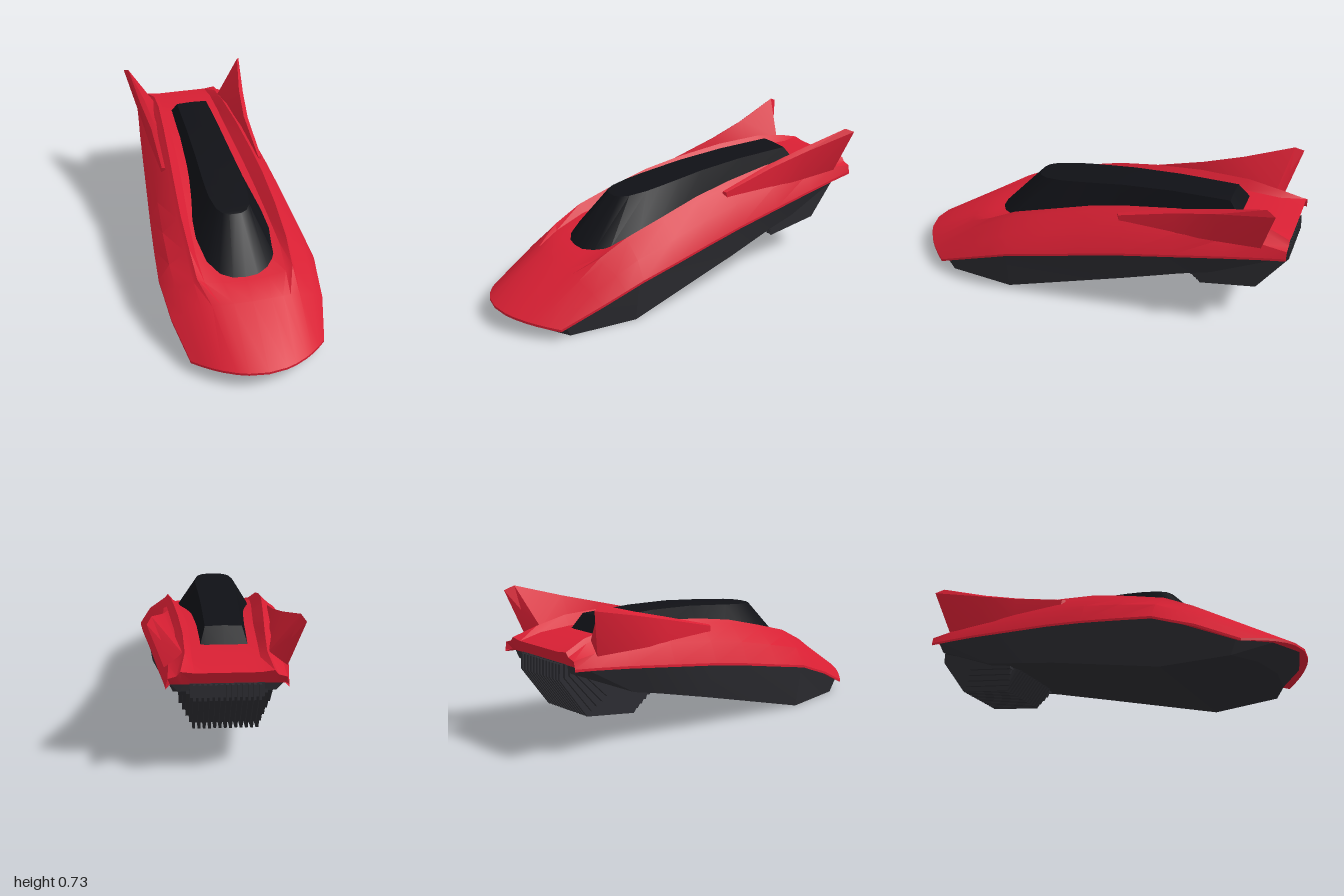
import * as THREE from 'three';
import { toCreasedNormals } from 'three/addons/utils/BufferGeometryUtils.js';

const paint = (color) => new THREE.MeshStandardMaterial({ color, side: THREE.DoubleSide });
const red = paint(0xd81f33), dark = paint(0x2c2c31), glass = paint(0x101116);

// Skin a grid of points; rows are cross-sections
function skin(name, rows, material, flip = false, crease = 0.45) {
  const pos = [];
  const tri = (a, b, c) => pos.push(...a, ...(flip ? c : b), ...(flip ? b : c));
  for (let i = 0; i < rows.length - 1; i++) {
    for (let j = 0; j < rows[i].length - 1; j++) {
      const a = rows[i][j], b = rows[i][j + 1], c = rows[i + 1][j], d = rows[i + 1][j + 1];
      tri(a, b, c);
      tri(b, d, c);
    }
  }
  const geo = new THREE.BufferGeometry();
  geo.setAttribute('position', new THREE.Float32BufferAttribute(pos, 3));
  const mesh = new THREE.Mesh(toCreasedNormals(geo, crease), material);
  mesh.name = name;
  return mesh;
}

const flipX = ([x, y, z]) => [-x, y, z];
// Half section (centre outwards) to a full one
const full = (half) => [...half.slice(1).reverse().map(flipX), ...half];
const centre = (pts) => [0, 1, 2].map((k) => pts.reduce((s, p) => s + p[k], 0) / pts.length);

// Half section of the upper shell: deck, raised ridge, bulged shoulder, rim
function station(z, deckY, cx, cy, rx, ry, ex, ey, bow = 0) {
  const section = [[0, deckY], [cx * .55, deckY], [cx, cy], [rx, ry], [rx + .016, ry - .02],
    [(rx + ex) / 2 + .023, (ry + ey) / 2 + .002], [ex, ey]];
  return section.map(([x, y]) => [x, y, z - bow * x * x]);
}

function shell() {
  const group = new THREE.Group();
  group.name = 'upperShell';
  const half = [
    // curved nose edge and hood crest
    [0, .09, .14, .2, .24, .285, .325].map((x) => [x, .095 - .33 * x * x, 1 - 1.8 * x * x]),
    [0, .09, .15, .19, .24, .32, .375].map((x) => [x, .27 - 2.18 * x ** 3, .7 - .64 * x * x]),
    // cockpit surround running back to the tail
    station(.58, .3, .2, .305, .235, .325, .386, .2, .6),
    station(.4, .34, .21, .36, .242, .4, .395, .235),
    station(.2, .39, .2, .405, .242, .46, .382, .275),
    station(0, .44, .185, .455, .232, .515, .365, .315),
    station(-.2, .485, .17, .495, .218, .55, .345, .35),
    station(-.45, .52, .155, .525, .2, .578, .32, .385),
    station(-.7, .535, .15, .535, .183, .583, .295, .42),
    station(-.87, .53, .148, .53, .178, .556, .275, .44),
    station(-.99, .51, .14, .51, .2, .518, .262, .452),
  ];
  group.add(skin('shellSkin', half.map(full), red));

  // Rim lip folded under the shell, from nose to tail
  const rim = [...half[0], ...half.slice(1).map((r) => r[6])];
  const lip = rim.map(([x, y, z]) => [x, y - .012, z]);
  const inner = rim.map(([x, y, z]) => [x * .88, y + .01, z * .96]);
  group.add(skin('rimLip', [full(rim), full(lip), full(inner)], red, true));

  // Tail panel
  const tail = half[half.length - 1];
  group.add(skin('tailPanel', [full(tail), full(tail.map(([x]) => [x * .96, .448, -.96]))], red));
  return group;
}

function hull() {
  const group = new THREE.Group();
  group.name = 'lowerHull';
  // z, bottom half width and height, top half width and height
  const stations = [
    [.41, .335, 0, .372, .24], [-.2, .285, .165, .325, .355],
    [-.48, .245, .235, .3, .39], [-.63, .23, .27, .285, .415], [-.95, .21, .41, .25, .455],
  ];
  const rows = [
    [[0, 0, .86], [.17, 0, .83], [.3, 0, .75], [.31, .065, .78]],
    ...stations.map(([z, bx, by, tx, ty]) => [[0, by, z], [bx / 2, by, z], [bx, by, z], [tx, ty, z]]),
  ];
  group.add(skin('hullSkin', rows.map(full), dark, true, 0.2));
  const upper = [[0, .085, .975], [.18, .075, .91], [.31, .065, .78]];
  group.add(skin('hullNose', [full(upper), full(rows[0].slice(0, 3))], dark, true, 0.2));
  const tail = rows[rows.length - 1];
  group.add(skin('hullTail', [full(tail), full(tail.map(([x]) => [x, .46, -.955]))], dark));
  return group;
}

function canopy() {
  // Roof edge x, y, z and base edge x, y, z of each station
  const stations = [
    [0, .53, .35, 0, .275, .585],
    [.03, .53, .347, .065, .275, .578],
    [.06, .532, .33, .125, .295, .53],
    [.083, .536, .29, .17, .33, .45],
    [.098, .546, .2, .188, .375, .3],
    [.1, .556, .12, .182, .4, .18],
    [.098, .57, 0, .158, .43, .04],
    [.094, .585, -.13, .137, .46, -.12],
    [.088, .6, -.38, .12, .5, -.38],
    [.083, .602, -.67, .113, .51, -.74],
  ];
  const rows = stations.map(([x, y, z, ...base]) => full([[0, y + x * .04, z], [x, y, z], base]));
  rows.push(full([0, .08, .113].map((x) => [x, .51, -.745])));
  return skin('canopy', rows, glass, false, 0.5);
}

function fin(side) {
  // Blade leaning outwards: inner root, inner top, outer top, outer root
  const loops = [
    [[.248, .485, -.15], [.25, .518, -.155], [.266, .515, -.165], [.27, .48, -.17]],
    [[.225, .5, -.45], [.245, .602, -.45], [.268, .59, -.45], [.278, .48, -.45]],
    [[.203, .52, -.65], [.268, .658, -.65], [.291, .642, -.65], [.276, .485, -.65]],
    [[.185, .54, -.84], [.316, .732, -.89], [.336, .712, -.935], [.268, .49, -.87]],
  ];
  const cap = (l) => l.map(() => centre(l));
  const rows = [cap(loops[0]), ...loops, cap(loops[3])]
    .map((l) => [...l, l[0]].map((p) => (side < 0 ? flipX(p) : p)));
  return skin(side > 0 ? 'leftFin' : 'rightFin', rows, red, side < 0, 0.3);
}

// Slab with the side profile of the vent, shrunk by s steps
function ventSlab(name, x, width, s) {
  const up = .018 * s, back = .014 * s;
  const pts = [[-.46, .25], [-.48 - .005 * s, .235 + up * .4], [-.56 + .01 * s, .135 + up],
    [-.84 + back, .18 + up], [-.988 + back, .38 + up * .4], [-.985 + back, .452], [-.5, .42]];
  const shape = new THREE.Shape(pts.map(([z, y]) => new THREE.Vector2(z, y)));
  const geo = new THREE.ExtrudeGeometry(shape, { depth: width, bevelEnabled: false });
  geo.rotateY(-Math.PI / 2).translate(x + width / 2, 0, 0);
  const mesh = new THREE.Mesh(geo, dark);
  mesh.name = name;
  return mesh;
}

function vent() {
  const group = new THREE.Group();
  group.name = 'rearVent';
  group.add(ventSlab('ventCore', 0, .27, 1.2));
  for (let i = -6; i <= 6; i++) group.add(ventSlab('ventRib', i * .0235, .012, 0));
  // Stepped cheeks either side
  for (let s = 1; s <= 4; s++) group.add(ventSlab('ventStep', 0, .29 + .03 * s, s * 1.3));
  return group;
}

export function createModel() {
  const model = new THREE.Group();
  model.name = 'hoverRacer';
  model.add(shell(), hull(), canopy(), fin(1), fin(-1), vent());
  return model;
}
